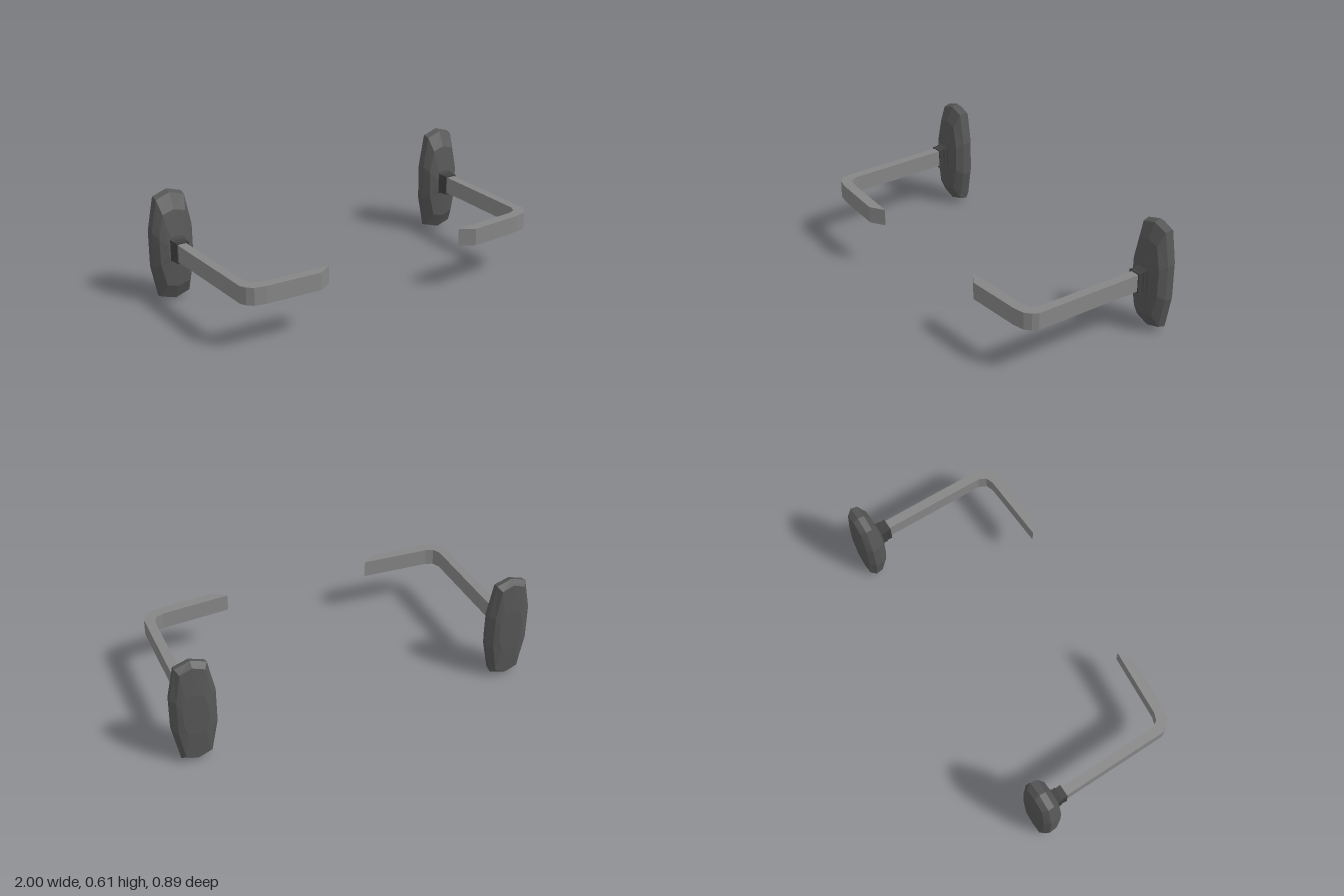
import * as THREE from 'three';

const CX = 0.88, CY = 0.31;

// Skin over scaled copies of one counter-clockwise outline, ordered along z and capped at both ends.
// Each ring is [scaleX, scaleY, z, tilt], tilt leaning its top towards -z.
function loft(outline, rings) {
  const pos = [];
  const pts = rings.map(([sx, sy, z, tilt = 0]) =>
    outline.map(([x, y]) => [x * sx, y * sy, z - tilt * y * sy]));
  const n = outline.length;
  const tri = (a, b, c) => pos.push(...a, ...b, ...c);
  for (let i = 0; i < pts.length - 1; i++) {
    for (let j = 0; j < n; j++) {
      const k = (j + 1) % n;
      tri(pts[i][j], pts[i][k], pts[i + 1][k]);
      tri(pts[i][j], pts[i + 1][k], pts[i + 1][j]);
    }
  }
  const back = pts[0], front = pts[pts.length - 1];
  for (let j = 1; j < n - 1; j++) {
    tri(back[0], back[j + 1], back[j]);
    tri(front[0], front[j], front[j + 1]);
  }
  const geo = new THREE.BufferGeometry();
  geo.setAttribute('position', new THREE.Float32BufferAttribute(pos, 3));
  geo.computeVertexNormals();
  return geo;
}

// Bent bar seen from above as [x, z], extruded upwards
function armGeometry(side) {
  const plan = [
    [0.909, -0.33], [0.898, 0.355], [0.882, 0.385], [0.852, 0.413], [0.79, 0.427],
    [0.49, 0.446], [0.413, 0.395], [0.787, 0.371], [0.828, 0.356], [0.848, 0.315], [0.859, -0.33],
  ];
  const shape = new THREE.Shape(plan.map(([x, z]) => new THREE.Vector2(x * side, -z)));
  const geo = new THREE.ExtrudeGeometry(shape, { depth: 0.094, bevelEnabled: false });
  geo.rotateX(-Math.PI / 2);
  geo.translate(0, 0.263, 0);
  return geo;
}

export function createModel() {
  const mat = (name, color) => {
    const m = new THREE.MeshStandardMaterial({ color, flatShading: true });
    m.name = name;
    return m;
  };
  const padMat = mat('charcoal pad', 0x575757);
  const socketMat = mat('dark socket', 0x3f3f3f);
  const armMat = mat('grey arm', 0x868686);

  // Tall faceted pad, thickest at its rim
  const padOutline = [
    [0, -0.307], [0.083, -0.28], [0.119, -0.1], [0.119, 0.1], [0.083, 0.28],
    [0, 0.307], [-0.083, 0.28], [-0.119, 0.1], [-0.119, -0.1], [-0.083, -0.28],
  ];
  const padGeo = loft(padOutline, [
    [0.55, 0.4, -0.446], [0.78, 0.92, -0.435], [1, 1, -0.406],
    [0.97, 0.965, -0.367, 0.012], [0.78, 0.7, -0.329, 0.02], [0.45, 0.25, -0.312],
  ]);

  // Ridged square neck with a shallow recess around the arm
  const square = [[-1, -1], [1, -1], [1, 1], [-1, 1]];
  const socketGeo = loft(square, [
    [0.043, 0.062, -0.325], [0.041, 0.06, -0.308], [0.036, 0.056, -0.3],
    [0.038, 0.058, -0.286], [0.033, 0.055, -0.278], [0.035, 0.056, -0.252],
    [0.029, 0.05, -0.252], [0.029, 0.05, -0.275],
  ]);

  const model = new THREE.Group();
  model.name = 'padArmPair';
  for (const side of [1, -1]) {
    const unit = new THREE.Group();
    unit.name = side > 0 ? 'leftUnit' : 'rightUnit';
    const add = (name, geo, material, x = 0, y = 0) => {
      const mesh = new THREE.Mesh(geo, material);
      mesh.name = name;
      mesh.position.set(x, y, 0);
      unit.add(mesh);
    };
    add('pad', padGeo, padMat, side * CX, CY);
    add('socket', socketGeo, socketMat, side * CX, CY);
    add('arm', armGeometry(side), armMat);
    model.add(unit);
  }
  return model;
}
